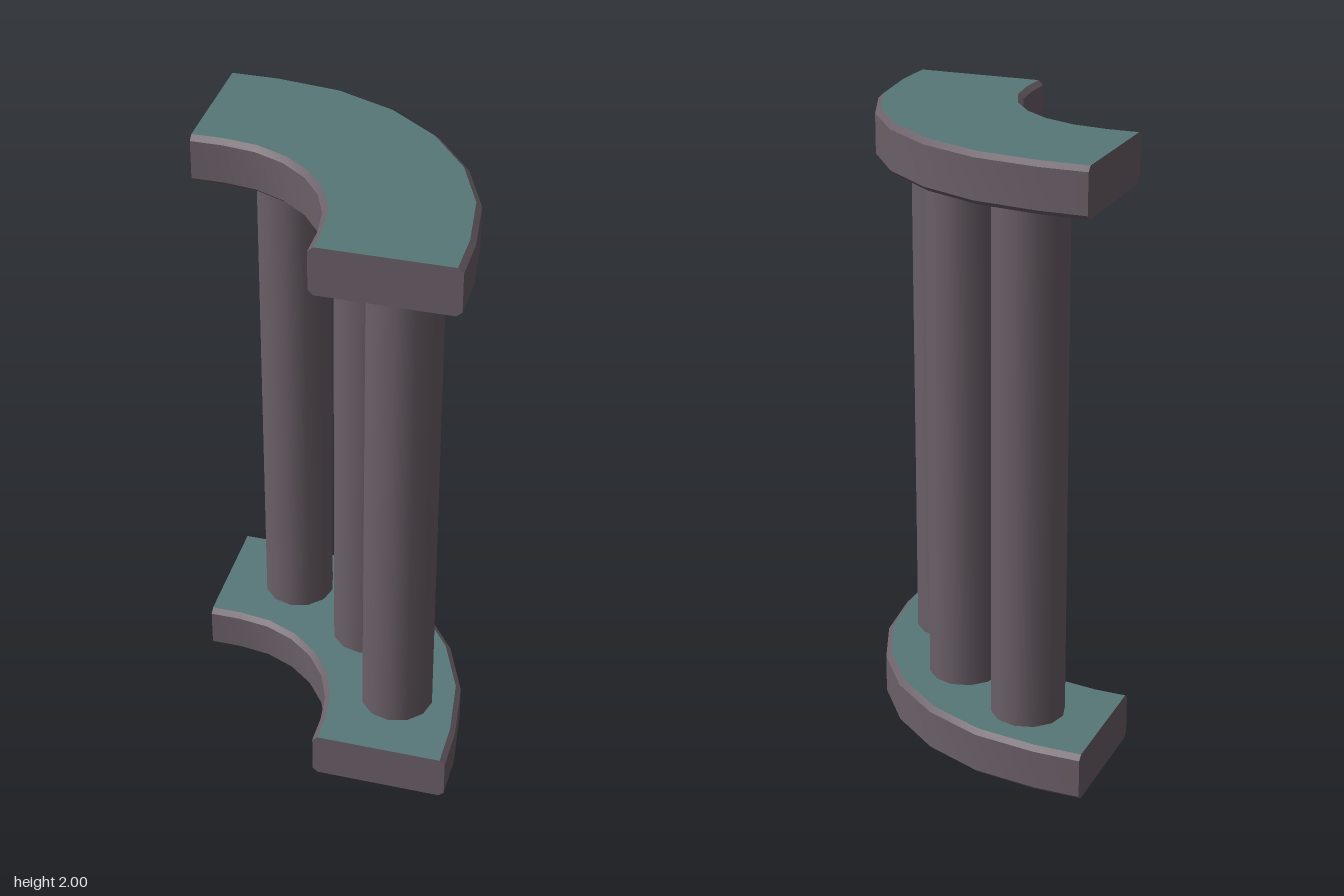
import * as THREE from 'three';
import { toCreasedNormals } from 'three/addons/utils/BufferGeometryUtils.js';

const SLAB = 0.155, HEIGHT = 2, BEVEL = 0.015, INSET = 0.017, END = 0.47, STEPS = 6;

// Plan of a quarter bend with short straight ends: arc about (-c, c)
function bend(c, r) {
  const pts = [[-END, c - r]];
  for (let i = 0; i <= STEPS; i++) {
    const a = (i / STEPS) * Math.PI / 2;
    pts.push([-c + r * Math.sin(a), c - r * Math.cos(a)]);
  }
  pts.push([r - c, END]);
  return pts;
}

function geometryFrom(triangles) {
  const g = new THREE.BufferGeometry();
  g.setAttribute('position', new THREE.Float32BufferAttribute(triangles.flat(), 3));
  return toCreasedNormals(g, Math.PI / 6);
}

// Curved slab with bevelled long edges; the top face is kept apart for its own colour
function slabGeometries() {
  const outer = bend(0.32, 0.79), outerIn = bend(0.32, 0.79 - INSET);
  const inner = bend(0.37, 0.402), innerIn = bend(0.37, 0.402 + INSET);
  const rings = outer.map((_, i) => [
    [innerIn, 0], [outerIn, 0], [outer, BEVEL], [outer, SLAB - BEVEL],
    [outerIn, SLAB], [innerIn, SLAB], [inner, SLAB - BEVEL], [inner, BEVEL],
  ].map(([line, y]) => [line[i][0], y, line[i][1]]));

  const body = [], top = [];
  for (let i = 0; i < rings.length - 1; i++) {
    for (let k = 0; k < 8; k++) {
      const n = (k + 1) % 8;
      const a = rings[i][k], b = rings[i][n], c = rings[i + 1][n], d = rings[i + 1][k];
      (k === 4 ? top : body).push(a, b, c, a, c, d);
    }
  }
  // Flat end caps
  const first = rings[0], last = rings[rings.length - 1];
  for (let k = 1; k < 7; k++) {
    body.push(first[0], first[k + 1], first[k]);
    body.push(last[0], last[k], last[k + 1]);
  }
  return { body: geometryFrom(body), top: geometryFrom(top) };
}

export function createModel() {
  const group = new THREE.Group();
  const stone = new THREE.MeshStandardMaterial({ color: 0x6b6068 });
  const teal = new THREE.MeshStandardMaterial({ color: 0x587779 });

  const add = (parent, name, geometry, material) => {
    const mesh = new THREE.Mesh(geometry, material);
    mesh.name = name;
    parent.add(mesh);
    return mesh;
  };

  // Base and capital slabs
  const { body, top } = slabGeometries();
  for (const [name, y] of [['base', 0], ['capital', HEIGHT - SLAB]]) {
    const slab = new THREE.Group();
    slab.name = name;
    slab.position.y = y;
    add(slab, name + 'Body', body, stone);
    add(slab, name + 'TopFace', top, teal);
    group.add(slab);
  }

  // Three round pillars following the bend
  const pillar = new THREE.CylinderGeometry(0.118, 0.118, HEIGHT - 2 * SLAB, 12, 1, true);
  const places = { backPillar: [-0.215, -0.25], middlePillar: [0.075, -0.075], frontPillar: [0.25, 0.215] };
  for (const [name, [x, z]] of Object.entries(places)) {
    add(group, name, pillar, stone).position.set(x, HEIGHT / 2, z);
  }
  return group;
}
